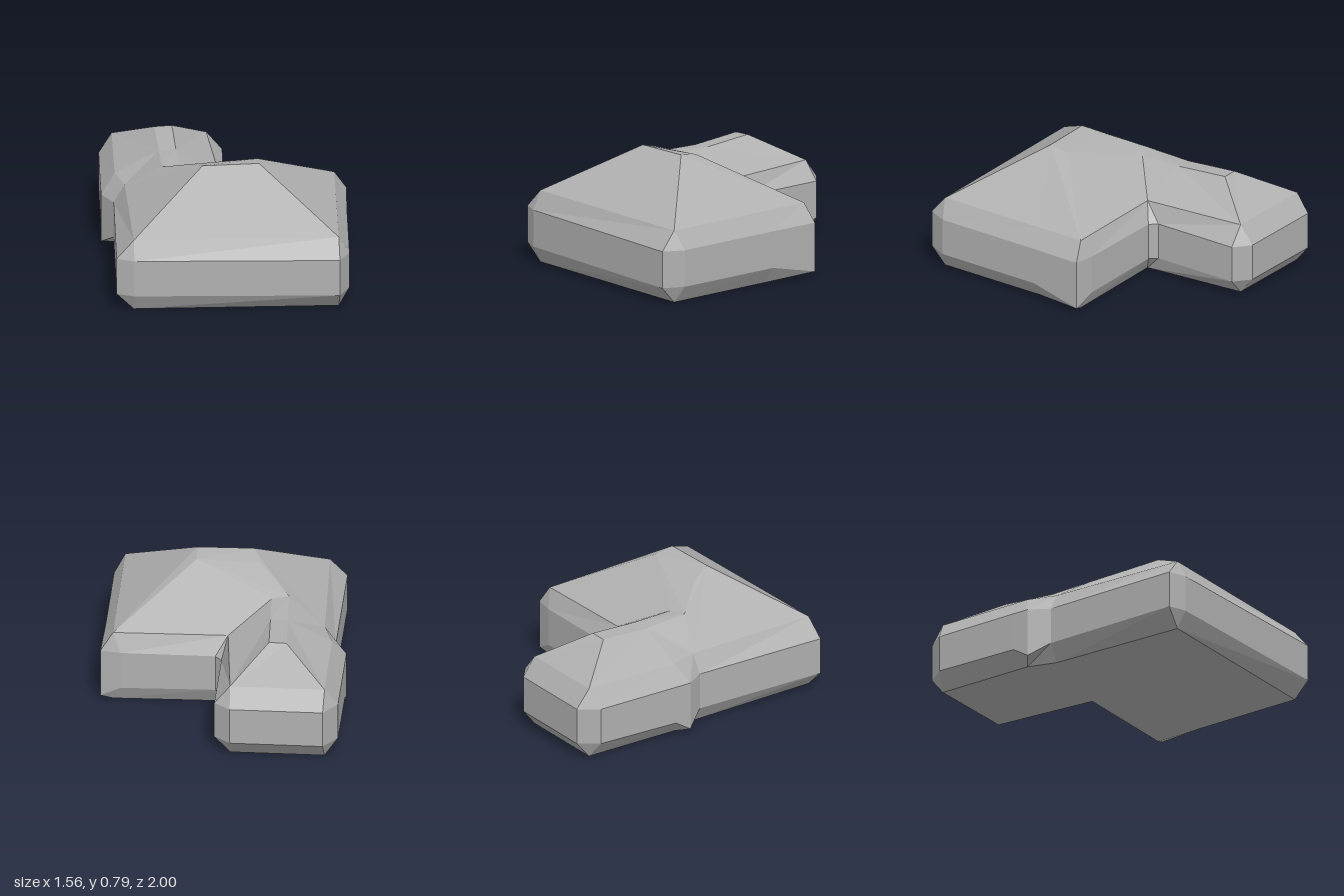
import * as THREE from 'three';

// Eave corners [x, z], counter-clockwise from above; also the footprint of the base
const EAVE = [
  [-0.65, 0.86], [0.65, 0.9], [0.685, 0.15], [0.7, -0.17], [-0.03, -0.19],
  [-0.06, -0.88], [-0.66, -0.91], [-0.69, -0.25], [-0.64, -0.06],
];

// Wall outline: [x, z, height of lower edge, index of eave corner]
const WALL = [
  [-0.76, 0.87, 0.11, 0], [-0.65, 0.92, 0.11, 0],
  [0.65, 1.0, 0.11, 1], [0.72, 0.87, 0.11, 1],
  [0.757, 0.15, 0.11, 2],
  [0.78, -0.19, 0.03, 3], [0.65, -0.22, 0.1, 3],
  [0.05, -0.25, 0.11, 4], [0.01, -0.3, 0.11, 4],
  [0.04, -0.88, 0.11, 5], [-0.06, -0.97, 0.11, 5],
  [-0.65, -1.0, 0.11, 6], [-0.745, -0.88, 0.11, 6],
  [-0.775, -0.3, 0.1, 7], [-0.78, -0.19, 0.03, 7],
  [-0.71, -0.06, 0.11, 8],
];
const WALL_TOP = 0.35;
const EAVE_Y = 0.47;

// Mesh from polygons, each fanned from its first corner
function facetMesh(name, polygons, material) {
  const positions = [];
  for (const p of polygons) {
    for (let i = 1; i < p.length - 1; i++) {
      positions.push(...p[0], ...p[i], ...p[i + 1]);
    }
  }
  const geometry = new THREE.BufferGeometry();
  geometry.setAttribute('position', new THREE.Float32BufferAttribute(positions, 3));
  geometry.computeVertexNormals();
  const mesh = new THREE.Mesh(geometry, material);
  mesh.name = name;
  return mesh;
}

// Quads joining two closed rings of equal length
function band(lower, upper) {
  return lower.map((a, i) => {
    const j = (i + 1) % lower.length;
    return [a, lower[j], upper[j], upper[i]];
  });
}

export function createModel() {
  const grey = new THREE.MeshStandardMaterial({ color: 0xb0b0b0, flatShading: true });
  grey.name = 'plain grey';

  const eave = EAVE.map(([x, z]) => [x, EAVE_Y, z]);
  const base = EAVE.map(([x, z]) => [x, 0, z]);
  const wallLow = WALL.map(([x, z, y]) => [x, y, z]);
  const wallHigh = WALL.map(([x, z]) => [x, WALL_TOP, z]);
  const pick = (ring) => WALL.map((w) => ring[w[3]]);

  // Flat underside
  const outline = EAVE.map(([x, z]) => new THREE.Vector2(x, -z));
  const underside = THREE.ShapeUtils.triangulateShape(outline, [])
    .map(([a, b, c]) => [base[c], base[b], base[a]]);

  // Ridges of the main roof and the wing roof
  const mainL = [-0.18, 0.78, 0.41], mainR = [0.18, 0.785, 0.41];
  const kneeL = [-0.23, 0.74, 0.28], kneeR = [0.18, 0.765, 0.28];
  const joinL = [-0.41, 0.63, 0.05], joinR = [-0.3, 0.62, 0.03];
  const midL = [-0.41, 0.615, -0.25], midR = [-0.3, 0.62, -0.25];
  const endL = [-0.41, 0.635, -0.6], endR = [-0.3, 0.64, -0.6];
  const e = eave;

  const mainRoof = [
    [e[0], e[1], mainR, mainL],
    [mainR, e[1], e[2], e[3], kneeR],
    [mainL, mainR, kneeR, kneeL],
    [kneeR, e[3], e[4], joinR, joinL, kneeL],
    [mainL, kneeL, joinL, e[8], e[0]],
  ];
  const wingRoof = [
    [midR, joinR, e[4], e[5], endR],
    [e[5], e[6], endL, endR],
    [midL, endL, e[6], e[7], e[8], joinL],
    [midL, midR, endR, endL],
    [joinL, joinR, midR, midL],
  ];

  const group = new THREE.Group();
  group.name = 'building';
  group.add(
    facetMesh('underside', underside, grey),
    facetMesh('baseBevel', band(pick(base), wallLow), grey),
    facetMesh('walls', band(wallLow, wallHigh), grey),
    facetMesh('eaves', band(wallHigh, pick(eave)), grey),
    facetMesh('mainRoof', mainRoof, grey),
    facetMesh('wingRoof', wingRoof, grey),
  );
  return group;
}
